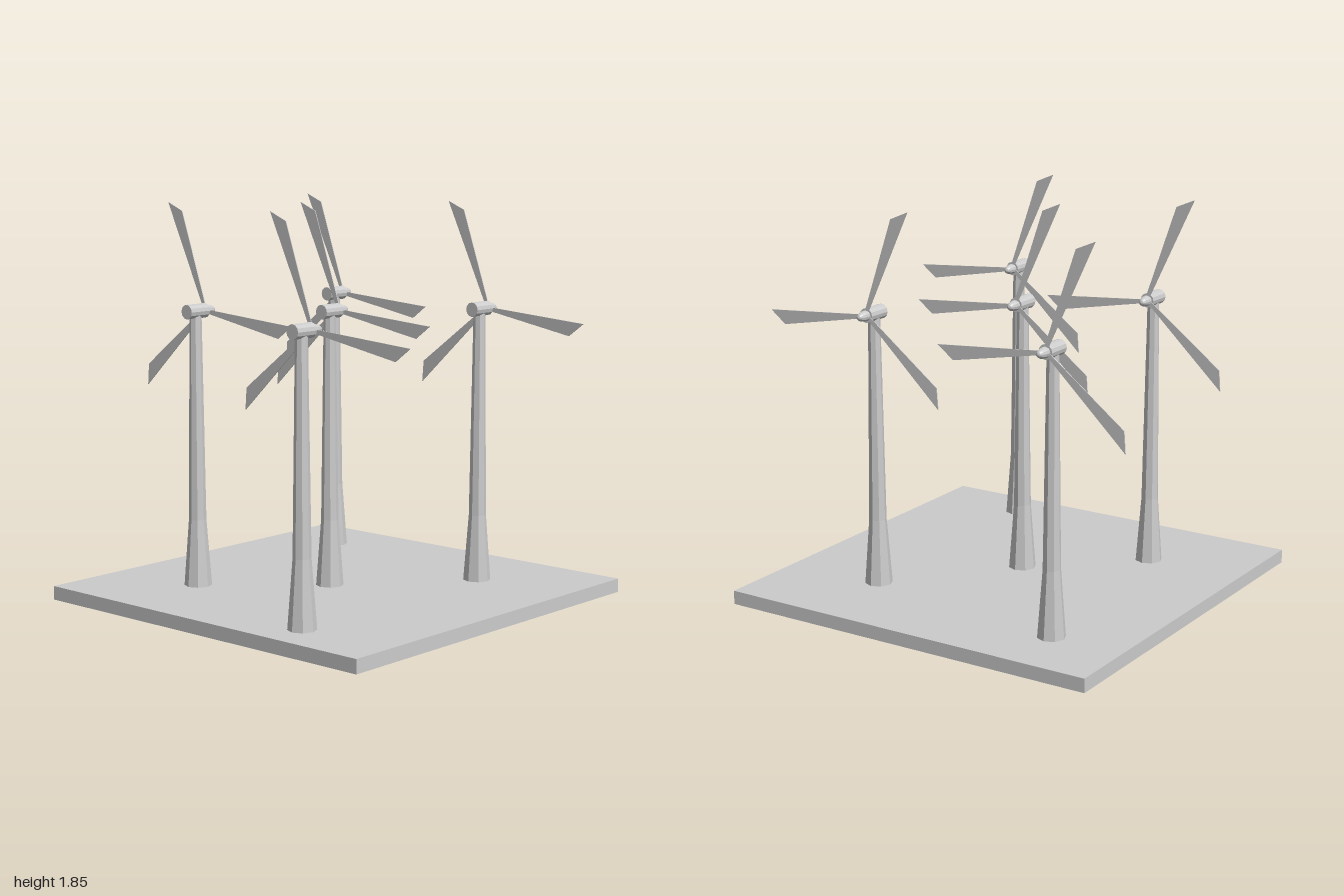
import * as THREE from 'three';

const flat = new THREE.MeshStandardMaterial({ color: 0xcccccc, flatShading: true });
const thin = new THREE.MeshStandardMaterial({ color: 0xcccccc, flatShading: true, side: THREE.DoubleSide });

const BASE_H = 0.065;   // slab thickness
const HUB_Y = 1.36;     // height of the rotor axis
const ROTOR_X = 0.062;  // rotor plane, ahead of the tower axis

function part(name, geometry, material = flat) {
  const mesh = new THREE.Mesh(geometry, material);
  mesh.name = name;
  return mesh;
}

const lathe = (points, sides) =>
  new THREE.LatheGeometry(points.map(([r, y]) => new THREE.Vector2(r, y)), sides);

// Eight-sided tower with a flared foot
const towerGeo = lathe([[0, BASE_H], [0.065, BASE_H], [0.041, 0.38], [0.028, 1.345], [0, 1.345]], 8);

// Nacelle drum lying along x
const nacelleGeo = new THREE.CylinderGeometry(0.034, 0.034, 0.118, 12);
nacelleGeo.rotateZ(-Math.PI / 2);

// Rounded nose cone pointing along +x
const spinnerGeo = lathe([[0, -0.004], [0.025, -0.004], [0.024, 0.02], [0.019, 0.042], [0.011, 0.055], [0, 0.06]], 12);
spinnerGeo.rotateZ(-Math.PI / 2);

// Flat blade, widening to a slanted tip
const bladeShape = new THREE.Shape([
  [0.01, -0.005], [0.548, 0], [0.473, 0.066], [0.01, 0.012],
].map(([x, y]) => new THREE.Vector2(x, y)));
const bladeGeo = new THREE.ExtrudeGeometry(bladeShape, { depth: 0.004, bevelEnabled: false });
bladeGeo.translate(0, 0, -0.002);

const BLADE_ANGLES = [64.3, 183.9, -44.2];

function createTurbine(x, z) {
  const turbine = new THREE.Group();
  turbine.name = 'turbine';
  turbine.position.set(x, 0, z);

  const nacelle = part('nacelle', nacelleGeo);
  nacelle.position.set(0.002, HUB_Y, 0);
  turbine.add(part('tower', towerGeo), nacelle);

  // Rotor: nose cone and three blades in the plane facing +x
  const rotor = new THREE.Group();
  rotor.name = 'rotor';
  rotor.position.set(ROTOR_X, HUB_Y, 0);
  rotor.add(part('spinner', spinnerGeo));
  const blades = new THREE.Group();
  blades.name = 'blades';
  blades.rotation.y = Math.PI / 2;
  for (const angle of BLADE_ANGLES) {
    const blade = part('blade', bladeGeo, thin);
    blade.rotation.z = THREE.MathUtils.degToRad(angle);
    blades.add(blade);
  }
  rotor.add(blades);
  turbine.add(rotor);
  return turbine;
}

export function createModel() {
  const model = new THREE.Group();
  model.name = 'windFarm';

  // Ground slab
  const base = part('base', new THREE.BoxGeometry(1.895, BASE_H, 1.895));
  base.position.set(-0.003, BASE_H / 2, -0.014);
  model.add(base);

  // Five turbines scattered over the slab
  const sites = [[-0.756, 0.452], [-0.477, -0.475], [-0.063, -0.013], [0.484, 0.437], [0.625, -0.603]];
  for (const [x, z] of sites) model.add(createTurbine(x, z));
  return model;
}
